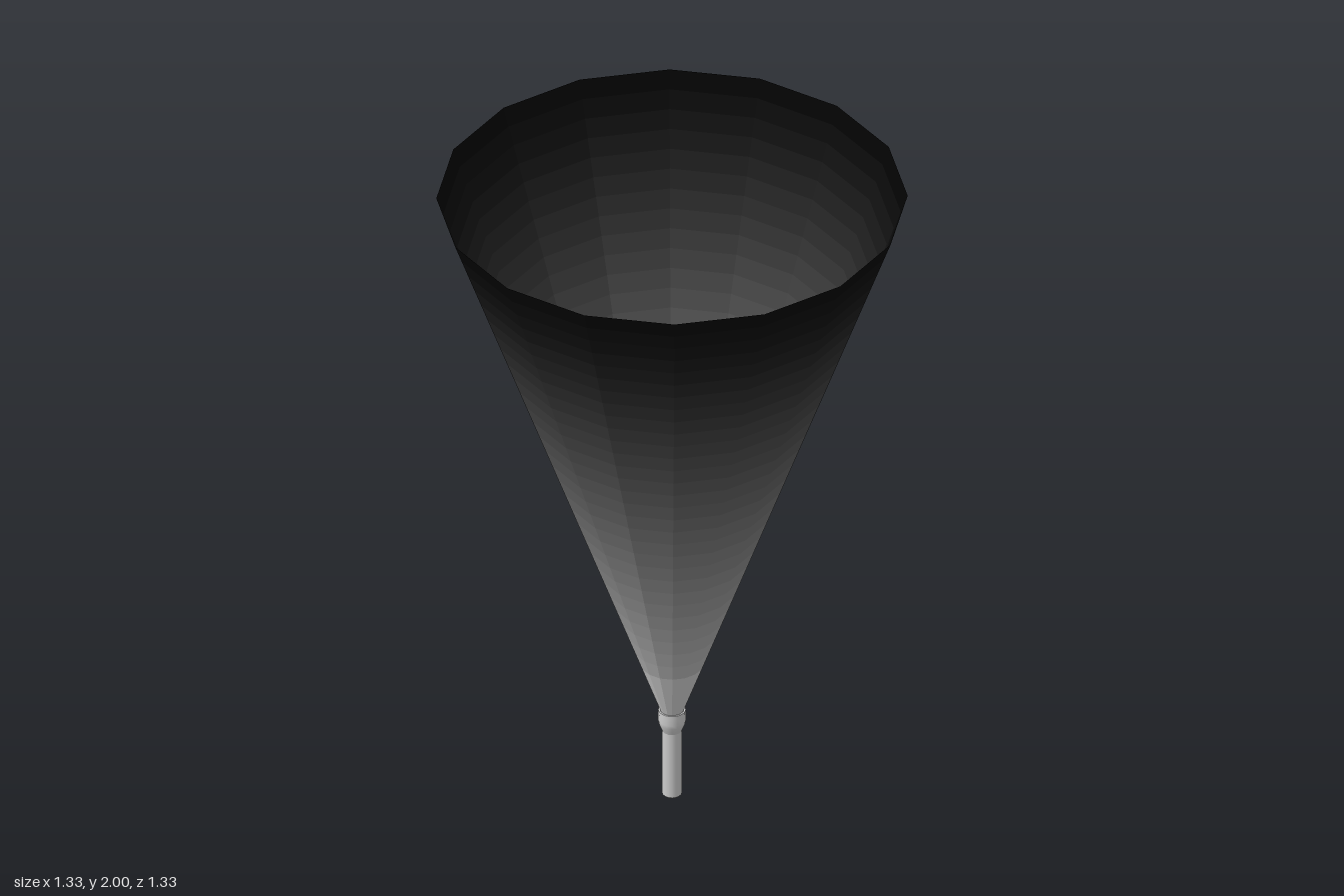
import * as THREE from 'three';

const grey = () => new THREE.MeshStandardMaterial({ color: 0xcccccc });

function add(parent, name, geometry, material, x = 0, y = 0, z = 0) {
  const mesh = new THREE.Mesh(geometry, material);
  mesh.name = name;
  mesh.position.set(x, y, z);
  parent.add(mesh);
  return mesh;
}

function lathe(points, sides) {
  return new THREE.LatheGeometry(points.map(([r, y]) => new THREE.Vector2(r, y)), sides);
}

export function createModel() {
  const model = new THREE.Group();
  model.name = 'torchWithBeam';

  // Handle with a closed, slightly bevelled tail; doubled points keep edges crisp
  add(model, 'handle', lathe([
    [0, 0], [0.024, 0], [0.024, 0], [0.028, 0.005], [0.028, 0.005], [0.028, 0.22],
  ], 16), grey());

  // Head flaring out from the handle, with a rim and inner wall
  add(model, 'head', lathe([
    [0.028, 0.215], [0.032, 0.225], [0.038, 0.24], [0.04, 0.252], [0.039, 0.275],
    [0.039, 0.284], [0.039, 0.284], [0.034, 0.284], [0.034, 0.284], [0.033, 0.277],
  ], 16), grey());

  // Shallow lens closing the head
  add(model, 'lens', lathe([[0.034, 0.277], [0.024, 0.28], [0.012, 0.282], [0, 0.283]], 16), grey());

  // Switch on the back of the handle
  const switchGroup = new THREE.Group();
  switchGroup.name = 'switch';
  model.add(switchGroup);
  add(switchGroup, 'switchPlate', new THREE.BoxGeometry(0.014, 0.042, 0.006), grey(), 0, 0.178, -0.027);
  for (const y of [0.165, 0.19]) {
    const bump = add(switchGroup, 'switchBump', new THREE.SphereGeometry(0.006, 10, 8), grey(), 0, y, -0.029);
    bump.scale.set(1, 1, 0.7);
  }

  // Faceted open light beam, fading to black through stacked bands
  const beam = new THREE.Group();
  beam.name = 'lightBeam';
  model.add(beam);
  const bands = 32, y0 = 0.28, y1 = 2, r0 = 0.032, r1 = 0.664;
  const height = (y1 - y0) / bands;
  for (let i = 0; i < bands; i++) {
    const low = THREE.MathUtils.lerp(r0, r1, i / bands);
    const high = THREE.MathUtils.lerp(r0, r1, (i + 1) / bands);
    const shade = 0.8 * (1 - (i + 0.5) / bands);
    const material = new THREE.MeshStandardMaterial({
      color: new THREE.Color().setRGB(shade, shade, shade, THREE.SRGBColorSpace),
      flatShading: true,
      side: THREE.DoubleSide,
    });
    add(beam, 'beamBand', new THREE.CylinderGeometry(high, low, height, 16, 1, true), material,
      0, y0 + (i + 0.5) * height, 0);
  }

  return model;
}
